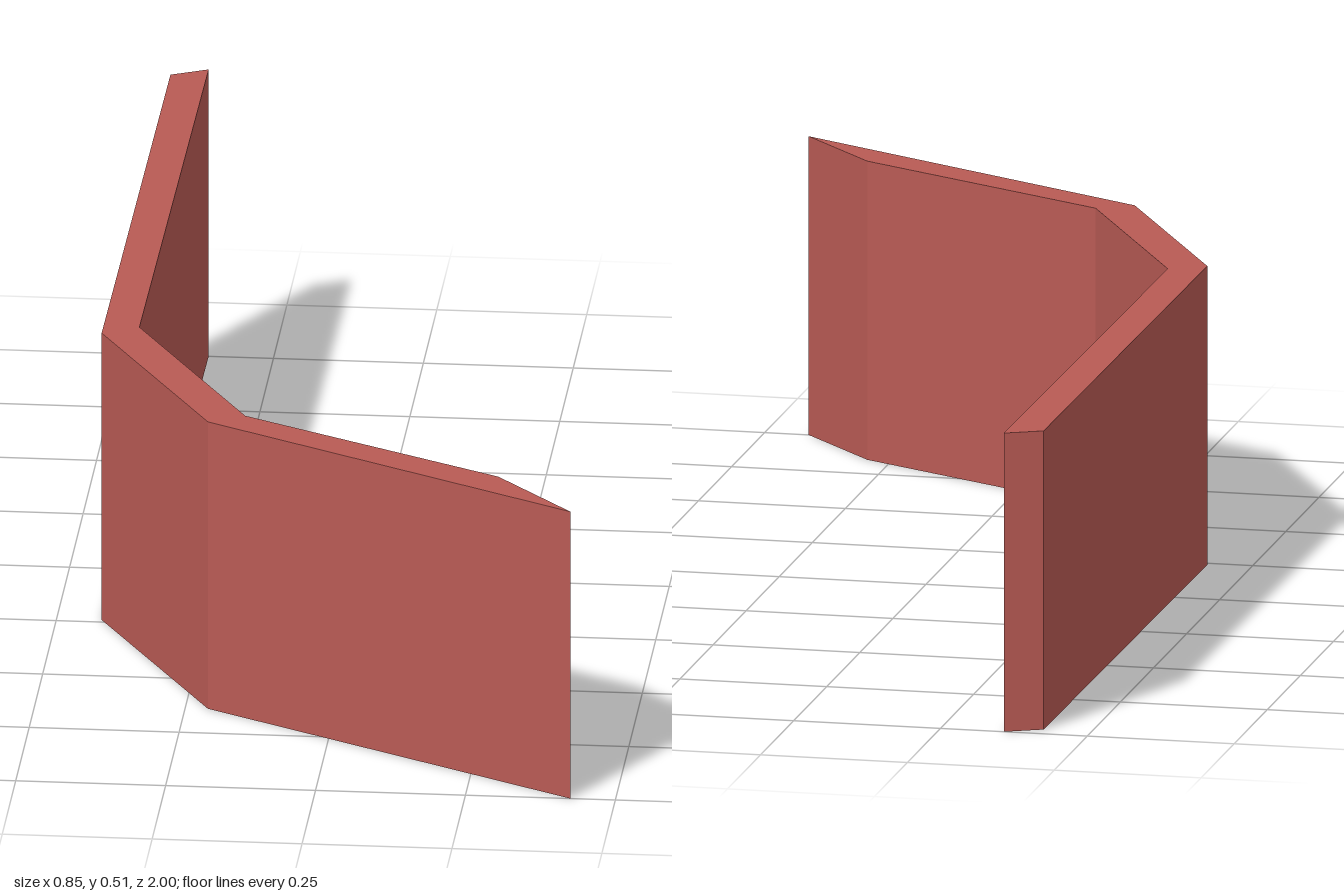
import * as THREE from 'three';

export function createModel() {
  const group = new THREE.Group();
  group.name = 'bentWall';

  const brickRed = new THREE.MeshStandardMaterial({ color: 0xb85a54 });
  brickRed.name = 'brickRed';

  // Plan of the wall as [x, z]: outer side front to back, then inner side back to front
  const outer = [[0.425, 1], [-0.212, 0.637], [-0.425, 0.24], [-0.419, -0.97]];
  const inner = [[-0.358, -1], [-0.365, 0.207], [-0.153, 0.603], [0.291, 0.848]];
  const plan = new THREE.Shape([...outer, ...inner].map(([x, z]) => new THREE.Vector2(x, -z)));

  // Raise the plan to the wall height, standing on the ground
  const geometry = new THREE.ExtrudeGeometry(plan, { depth: 0.51, bevelEnabled: false });
  geometry.rotateX(-Math.PI / 2);

  const wall = new THREE.Mesh(geometry, brickRed);
  wall.name = 'wall';
  group.add(wall);
  return group;
}
